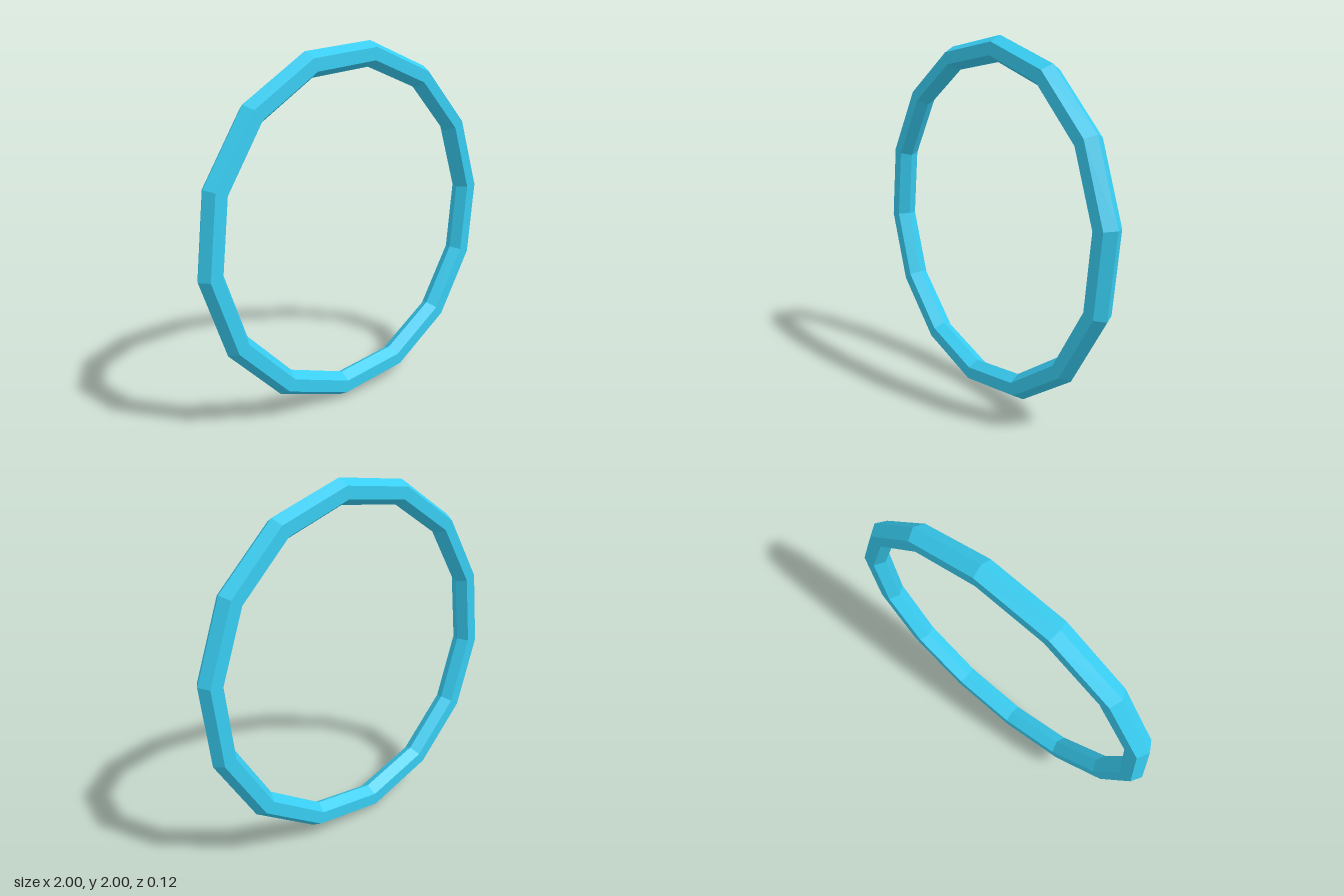
import * as THREE from 'three';

export function createModel() {
  const group = new THREE.Group();
  const sides = 14;
  const tubeRadius = 0.07;
  // outer corners sit a quarter step off the axes and touch x = ±1, y = 0 and 2
  const turn = Math.PI / 2 / sides;
  const outerRadius = 1 / Math.cos(turn);

  // upright low-poly hoop with a hexagonal section
  const hoop = new THREE.Mesh(
    new THREE.TorusGeometry(outerRadius - tubeRadius, tubeRadius, 6, sides),
    new THREE.MeshStandardMaterial({ color: 0x38cdf2, flatShading: true })
  );
  hoop.name = 'hoop';
  hoop.rotation.z = turn;
  hoop.position.y = 1;
  group.add(hoop);

  return group;
}
